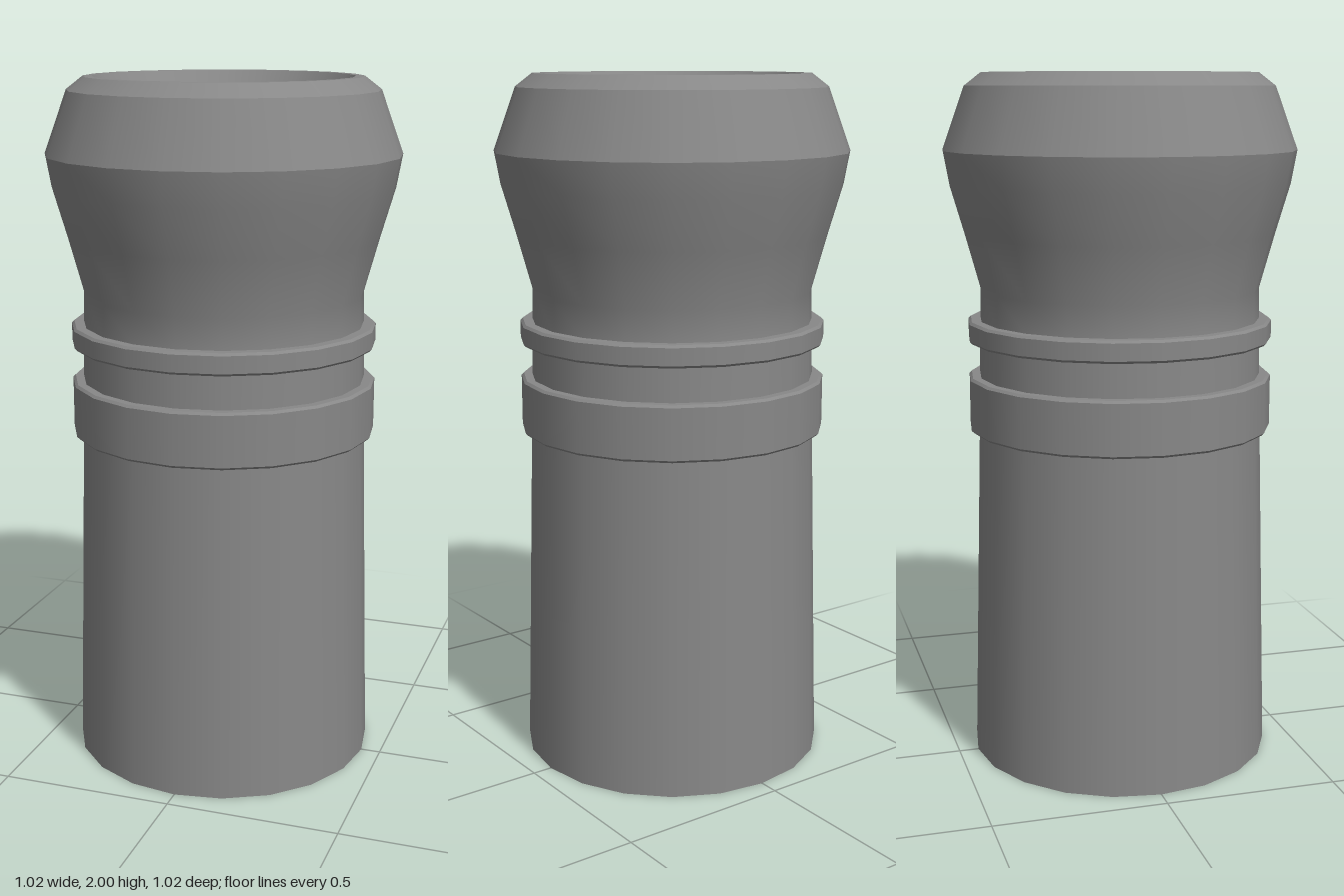
import * as THREE from 'three';

const SIDES = 20;
const material = new THREE.MeshStandardMaterial({ color: 0x888888 });

// Revolves smooth profile strips; edges between separate strips stay sharp.
function turned(name, strips) {
  const group = new THREE.Group();
  group.name = name;
  strips.forEach((strip, i) => {
    const points = strip.map(([r, y]) => new THREE.Vector2(r, y));
    const geometry = new THREE.LatheGeometry(points, SIDES);
    geometry.normalizeNormals();
    const mesh = new THREE.Mesh(geometry, material);
    mesh.name = `${name}Surface${i + 1}`;
    group.add(mesh);
  });
  return group;
}

// Splits a profile into single straight strips, so every edge is sharp.
const sharp = (points) => points.slice(1).map((p, i) => [points[i], p]);

// Raised band with slightly bevelled edges.
function band(name, bottom, top) {
  const inner = 0.4, outer = 0.443, bevel = 0.007;
  return turned(name, sharp([
    [inner, bottom],
    [outer - bevel, bottom],
    [outer, bottom + bevel],
    [outer, top - bevel],
    [outer - bevel, top],
    [inner, top],
  ]));
}

export function createModel() {
  const model = new THREE.Group();
  model.name = 'chimneyPot';

  // Tapered shaft with a closed base
  model.add(turned('shaft', [
    [[0, 0], [0.443, 0]],
    [[0.443, 0], [0.415, 1.0], [0.408, 1.3]],
  ]));

  // Two collars around the neck
  model.add(band('lowerCollar', 0.98, 1.14));
  model.add(band('upperCollar', 1.24, 1.303));

  // Flared head, sloping shoulder and bevelled rim
  model.add(turned('head', [
    [[0.408, 1.3], [0.406, 1.39], [0.45, 1.55], [0.491, 1.69], [0.508, 1.785]],
    [[0.508, 1.785], [0.443, 1.963]],
    [[0.443, 1.963], [0.395, 2]],
    [[0.395, 2], [0.37, 2]],
  ]));

  // Hollow mouth: inner bevel, wall and floor
  model.add(turned('mouth', sharp([
    [0.37, 2], [0.33, 1.935], [0.33, 1.4], [0, 1.4],
  ])));

  return model;
}
